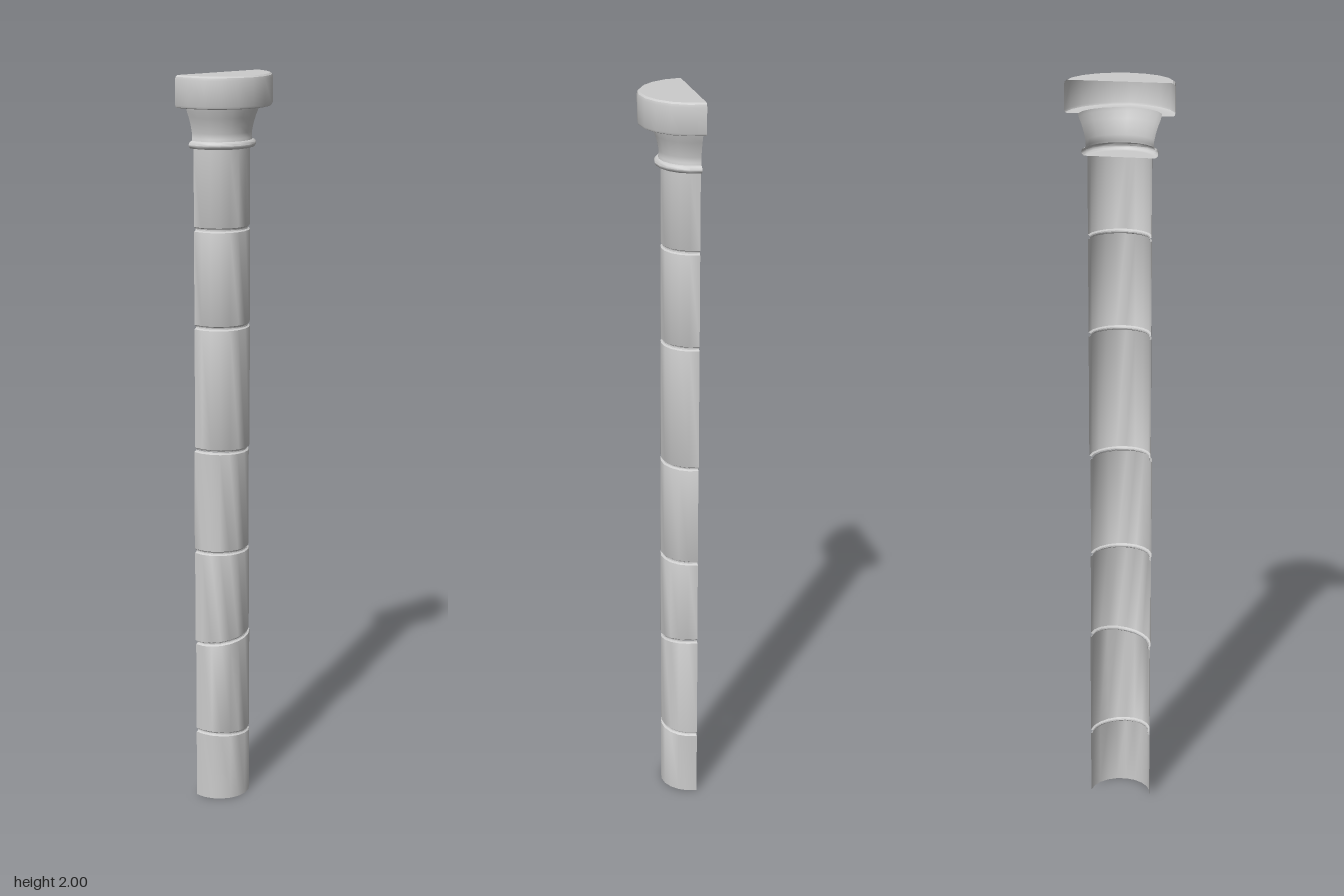
import * as THREE from 'three';
import { toCreasedNormals } from 'three/addons/utils/BufferGeometryUtils.js';

const R = 0.083;       // shaft radius
const BACK = -0.071;   // plane of the open back
const SIDES = 10;      // facets around the half circle
const material = new THREE.MeshStandardMaterial({ color: 0xcccccc, side: THREE.DoubleSide });

// Half-round surface turned from a [radius, height] profile, open at the back
function halfLathe(profile) {
  const points = profile.map(([r, y]) => new THREE.Vector2(r, y));
  return new THREE.LatheGeometry(points, SIDES, -Math.PI / 2, Math.PI);
}

function addPart(group, name, geometry) {
  const mesh = new THREE.Mesh(toCreasedNormals(geometry, 0.6), material);
  mesh.name = name;
  mesh.position.z = BACK;
  group.add(mesh);
}

export function createModel() {
  const column = new THREE.Group();
  column.name = 'halfColumn';

  // Joints between drums: height and slope across x
  const joints = [
    [0, 0], [0.19, -0.07], [0.468, 0.16], [0.72, 0],
    [1.002, -0.03], [1.34, 0], [1.6, 0], [1.81, 0],
  ];
  // Slight sideways shift of each worn drum
  const shifts = [0, 0, -0.002, -0.003, 0, 0, 0];

  // Shaft drums with small bevels that form the seams
  for (let i = 0; i < shifts.length; i++) {
    const [y0, s0] = joints[i];
    const [y1, s1] = joints[i + 1];
    const h = y1 - y0;
    const profile = [[R, 0.006], [R, h - 0.006]];
    if (i > 0) profile.unshift([R - 0.006, 0], [R - 0.005, 0.003]);
    else profile[0][1] = 0;
    if (i < shifts.length - 1) profile.push([R - 0.005, h - 0.003], [R - 0.006, h]);
    else profile.push([R, h], [0, h]); // flat top closing the shaft
    const geometry = halfLathe(profile);

    // Tilt the two ends to follow their joints
    const p = geometry.attributes.position;
    for (let v = 0; v < p.count; v++) {
      const x = p.getX(v);
      const t = p.getY(v) / h;
      p.setXYZ(v, x + shifts[i], y0 + p.getY(v) + x * THREE.MathUtils.lerp(s0, s1, t), p.getZ(v));
    }
    addPart(column, `shaftDrum${i + 1}`, geometry);
  }

  // Rounded collar under the capital
  const collar = [[R, 1.81]];
  for (let i = 0; i <= 6; i++) {
    const a = -Math.PI / 2 + (i / 6) * Math.PI;
    collar.push([0.089 + 0.01 * Math.cos(a), 1.82 + 0.01 * Math.sin(a)]);
  }
  addPart(column, 'collar', halfLathe(collar));

  // Flared neck
  addPart(column, 'capitalNeck', halfLathe([
    [0.089, 1.83], [0.087, 1.836], [0.088, 1.85], [0.092, 1.87],
    [0.098, 1.89], [0.105, 1.908], [0.107, 1.917],
  ]));

  // Top block with bevelled rims and a closed top
  addPart(column, 'capitalBlock', halfLathe([
    [0.107, 1.917], [0.136, 1.917], [0.14, 1.919], [0.142, 1.924],
    [0.142, 1.989], [0.14, 1.996], [0.135, 2], [0, 2],
  ]));

  return column;
}
